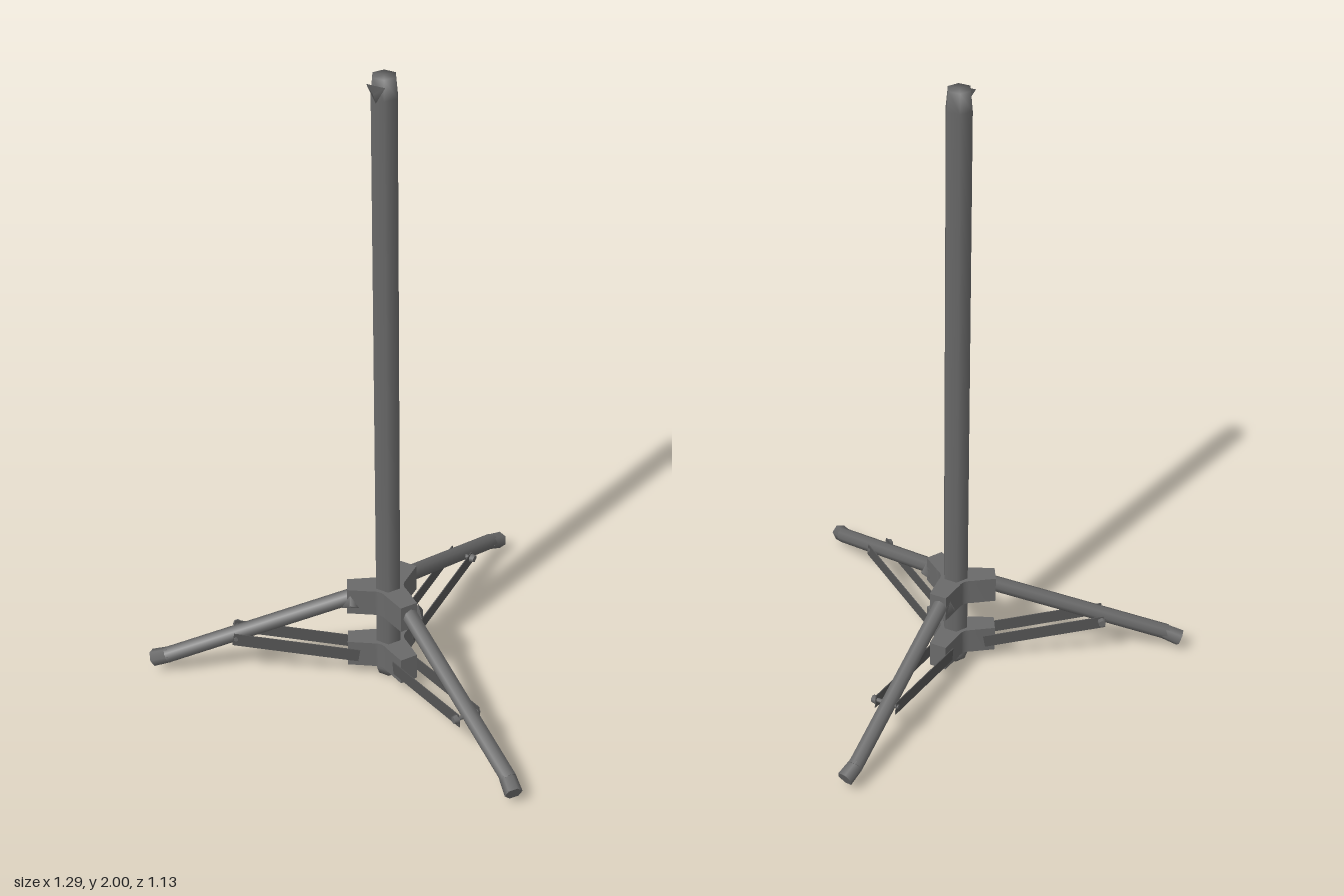
import * as THREE from 'three';
import { toCreasedNormals } from 'three/addons/utils/BufferGeometryUtils.js';

const metal = new THREE.MeshStandardMaterial({ color: 0x6a6a6a, side: THREE.DoubleSide });
const darkMetal = new THREE.MeshStandardMaterial({ color: 0x555555, side: THREE.DoubleSide });

function add(parent, name, geometry, x = 0, y = 0, z = 0, material = metal) {
  const mesh = new THREE.Mesh(geometry, material);
  mesh.name = name;
  mesh.position.set(x, y, z);
  parent.add(mesh);
  return mesh;
}

// Tapered rod whose ends sit at points a and b
function addRod(parent, name, a, b, ra, rb, sides = 8) {
  const from = new THREE.Vector3(...a), to = new THREE.Vector3(...b);
  const dir = to.clone().sub(from);
  const rod = add(parent, name, new THREE.CylinderGeometry(rb, ra, dir.length(), sides));
  rod.position.copy(from).add(to).multiplyScalar(0.5);
  rod.quaternion.setFromUnitVectors(new THREE.Vector3(0, 1, 0), dir.normalize());
}

// Three-armed hub with tapering arms and rounded valleys between them
function hubGeometry(height) {
  const shape = new THREE.Shape();
  const at = (angle, r, w) => [
    Math.cos(angle) * r - Math.sin(angle) * w,
    Math.sin(angle) * r + Math.cos(angle) * w,
  ];
  for (let i = 0; i < 3; i++) {
    const a = Math.PI / 2 + i * Math.PI * 2 / 3;
    if (i === 0) shape.moveTo(...at(a, 0.047, -0.036));
    shape.lineTo(...at(a, 0.125, -0.028));
    shape.lineTo(...at(a, 0.125, 0.028));
    shape.lineTo(...at(a, 0.047, 0.036));
    const next = a + Math.PI * 2 / 3;
    shape.quadraticCurveTo(...at(a + Math.PI / 3, 0.04, 0), ...at(next, 0.047, -0.036));
  }
  const geometry = new THREE.ExtrudeGeometry(shape, { depth: height, bevelEnabled: false, curveSegments: 6 });
  return toCreasedNormals(geometry.rotateX(-Math.PI / 2), Math.PI / 4);
}

// One leg, built along +x and turned into place
function createLeg() {
  const leg = new THREE.Group();
  leg.name = 'leg';
  const shift = -0.006;
  addRod(leg, 'legTube', [0.09, 0.294, shift], [0.685, 0.064, shift], 0.025, 0.025);
  addRod(leg, 'foot', [0.675, 0.067, shift], [0.728, 0.046, 0.005], 0.025, 0.027, 6);

  // Flat brace on each side, from the lower hub up to the leg
  const start = [0.09, 0.08], end = [0.475, 0.145];
  const dx = end[0] - start[0], dy = end[1] - start[1];
  for (const side of [-1, 1]) {
    const brace = add(leg, 'brace', new THREE.BoxGeometry(Math.hypot(dx, dy), 0.042, 0.003),
      (start[0] + end[0]) / 2, (start[1] + end[1]) / 2, side * 0.035, darkMetal);
    brace.rotation.z = Math.atan2(dy, dx);
  }

  // Rivet through leg and braces
  addRod(leg, 'rivet', [0.466, 0.147, -0.04], [0.466, 0.147, 0.04], 0.007, 0.007, 6);
  addRod(leg, 'rivetHead', [0.466, 0.147, 0.035], [0.466, 0.147, 0.05], 0.015, 0.012, 6);

  // Pivot cap beside the upper hub
  addRod(leg, 'pivotCap', [0.115, 0.28, -0.038], [0.115, 0.28, -0.054], 0.03, 0.004, 3);
  return leg;
}

export function createModel() {
  const model = new THREE.Group();
  model.name = 'tripodStand';
  const stand = new THREE.Group();
  stand.name = 'stand';
  stand.position.z = 0.17;
  model.add(stand);

  // Six-sided pole with narrowed ends
  const profile = [[0, 0], [0.034, 0], [0.042, 0.025], [0.042, 1.94], [0.036, 2], [0, 2]]
    .map(([r, y]) => new THREE.Vector2(r, y));
  const pole = add(stand, 'pole', new THREE.LatheGeometry(profile, 6));
  pole.rotation.y = Math.PI / 6;

  // Upper and lower hubs
  add(stand, 'upperHub', hubGeometry(0.087), 0, 0.237, 0);
  add(stand, 'lowerHub', hubGeometry(0.087), 0, 0.041, 0);

  // Three legs, the first pointing straight back
  for (let i = 0; i < 3; i++) {
    const leg = createLeg();
    leg.rotation.y = Math.PI / 2 + i * Math.PI * 2 / 3;
    stand.add(leg);
  }

  // Small pointed clamp knob at the top of the pole
  const knob = add(stand, 'topKnob', new THREE.ConeGeometry(0.034, 0.016, 3), 0, 1.968, 0.053, darkMetal);
  knob.rotation.x = Math.PI / 2;
  return model;
}
